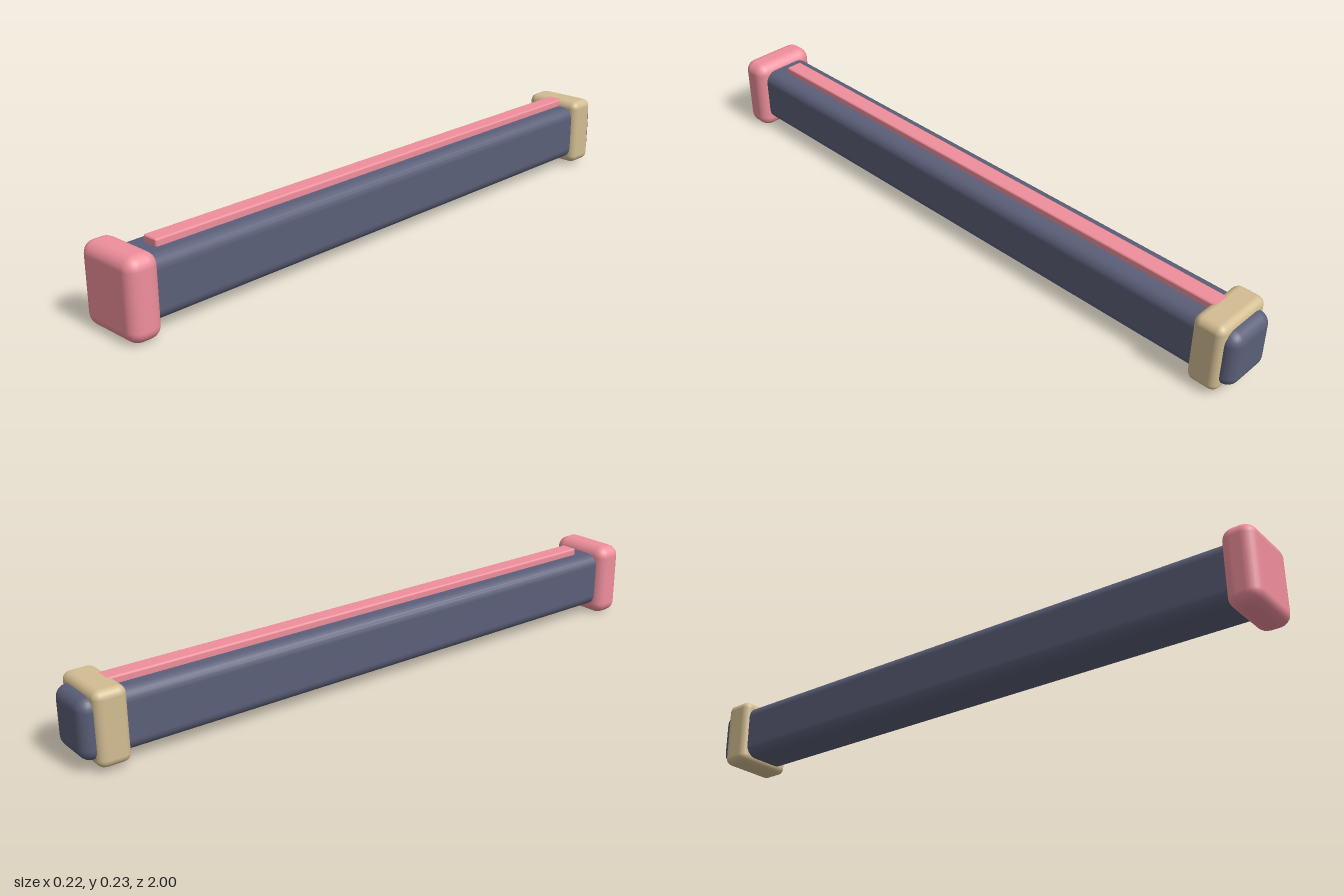
import * as THREE from 'three';
import { RoundedBoxGeometry } from 'three/addons/geometries/RoundedBoxGeometry.js';

export function createModel() {
  const model = new THREE.Group();
  const pink = new THREE.MeshStandardMaterial({ color: 0xef8f9c });
  const slate = new THREE.MeshStandardMaterial({ color: 0x5b5f78 });
  const tan = new THREE.MeshStandardMaterial({ color: 0xd2bd92 });

  // Rounded block given by its width and its y and z extents
  function block(name, material, width, [y0, y1], [z0, z1], radius, segments = 3) {
    const geometry = new RoundedBoxGeometry(width, y1 - y0, z1 - z0, segments, radius);
    const mesh = new THREE.Mesh(geometry, material);
    mesh.name = name;
    mesh.position.set(0, (y0 + y1) / 2, (z0 + z1) / 2);
    model.add(mesh);
  }

  // Long beam, running from inside the front cap out through the rear collar
  block('beam', slate, 0.166, [0.031, 0.209], [-1, 0.95], 0.036);
  // Front end cap
  block('frontCap', pink, 0.216, [0, 0.235], [0.903, 1], 0.036);
  // Collar near the rear end
  block('rearCollar', tan, 0.198, [0.013, 0.23], [-0.965, -0.869], 0.024);
  // Thin raised strip along the top
  block('topStrip', pink, 0.054, [0.198, 0.23], [-0.895, 0.86], 0.006, 2);

  return model;
}
